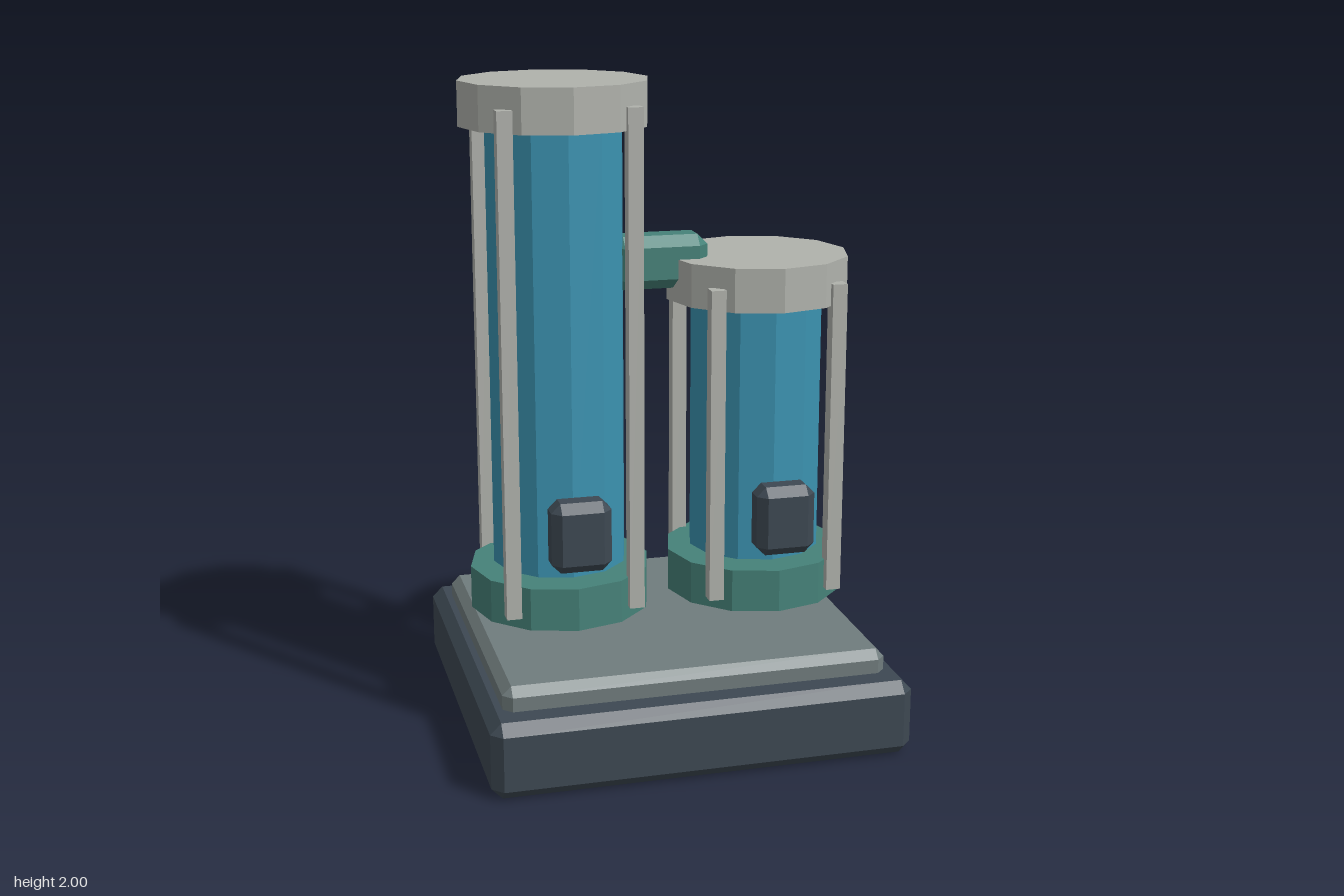
import * as THREE from 'three';
import { ConvexGeometry } from 'three/addons/geometries/ConvexGeometry.js';

const mat = (name, color) => {
  const m = new THREE.MeshStandardMaterial({ color, flatShading: true });
  m.name = name;
  return m;
};

// Box with every edge and corner chamfered by c
function chamferBox(w, h, d, c) {
  const points = [];
  for (const sx of [-1, 1]) for (const sy of [-1, 1]) for (const sz of [-1, 1]) {
    const x = w / 2, y = h / 2, z = d / 2;
    points.push(
      new THREE.Vector3(sx * x, sy * (y - c), sz * (z - c)),
      new THREE.Vector3(sx * (x - c), sy * y, sz * (z - c)),
      new THREE.Vector3(sx * (x - c), sy * (y - c), sz * z));
  }
  return new ConvexGeometry(points);
}

export function createModel() {
  const slate = mat('dark slate', 0x3d4852);
  const grey = mat('plate grey', 0x707c7d);
  const pale = mat('pale metal', 0xb0b2ac);
  const teal = mat('teal', 0x468279);
  const blue = mat('tank blue', 0x3b92b0);

  const model = new THREE.Group();
  model.name = 'twinTanks';
  const add = (parent, name, geometry, material, x, y, z) => {
    const mesh = new THREE.Mesh(geometry, material);
    mesh.name = name;
    mesh.position.set(x, y, z);
    parent.add(mesh);
  };
  // Twelve-sided drum spanning y0 to y1
  const drum = (parent, name, r, y0, y1, material) =>
    add(parent, name, new THREE.CylinderGeometry(r, r, y1 - y0, 12), material, 0, (y0 + y1) / 2, 0);

  // Stepped base
  add(model, 'base', chamferBox(1.286, 0.235, 1.205, 0.033), slate, -0.002, 0.1175, -0.002);
  add(model, 'basePlate', chamferBox(1.178, 0.115, 1.007, 0.027), grey, -0.003, 0.2475, -0.002);

  // One caged tank: foot ring, body, cap, four bars and a front control box
  const tank = (name, x, top) => {
    const g = new THREE.Group();
    g.name = name;
    g.position.set(x, 0, -0.003);
    drum(g, 'footRing', 0.281, 0.375, 0.508, teal);
    drum(g, 'body', 0.208, 0.52, top - 0.1, blue);
    drum(g, 'cap', 0.286, top - 0.134, top, pale);
    const y0 = 0.415, y1 = top - 0.065;
    for (const sx of [-1, 1]) for (const sz of [-1, 1])
      add(g, 'cageBar', new THREE.BoxGeometry(0.046, y1 - y0, 0.046), pale,
        sx * 0.19, (y0 + y1) / 2, sz * 0.22);
    add(g, 'controlBox', chamferBox(0.182, 0.216, 0.106, 0.028), slate, 0, 0.688, 0.302);
    model.add(g);
  };
  tank('tallTank', -0.318, 2);
  tank('shortTank', 0.314, 1.454);

  // Bridge pipe between the tanks
  add(model, 'bridgePipe', chamferBox(0.296, 0.163, 0.134, 0.032), teal, -0.002, 1.444, -0.001);

  return model;
}
